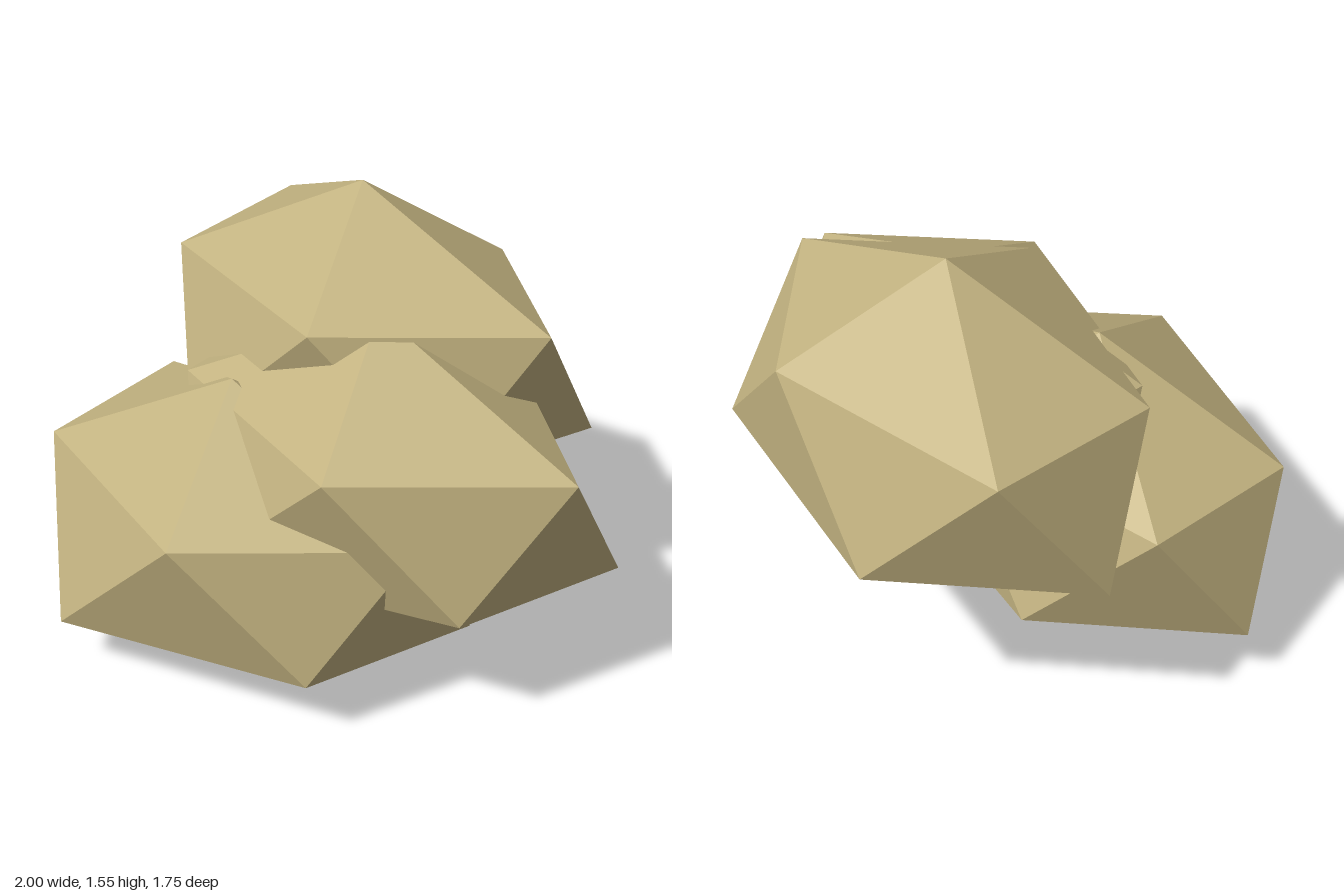
import * as THREE from 'three';

// One faceted boulder: top point, two rings of five corners, bottom point
function boulderGeometry() {
  const top = [0, 1.03, 0];
  const bottom = [0, 0, 0];
  // both rings run back-left, right, front; each lower corner sits between two upper ones
  const upper = [[-0.68, 0.72, -0.33], [0.24, 0.69, -0.48], [0.83, 0.72, 0], [0.28, 0.735, 0.56], [-0.62, 0.7, 0.29]];
  const lower = [[-0.27, 0.228, -0.54], [0.76, 0.205, -0.37], [0.63, 0.247, 0.3], [-0.28, 0.2, 0.58], [-0.8, 0.24, 0]];

  const positions = [];
  const face = (a, b, c) => positions.push(...a, ...b, ...c);
  for (let i = 0; i < 5; i++) {
    const j = (i + 1) % 5;
    face(top, upper[j], upper[i]);
    face(upper[i], upper[j], lower[i]);
    face(upper[j], lower[j], lower[i]);
    face(lower[i], lower[j], bottom);
  }
  const geometry = new THREE.BufferGeometry();
  geometry.setAttribute('position', new THREE.Float32BufferAttribute(positions, 3));
  geometry.computeVertexNormals();
  return geometry;
}

export function createModel() {
  const group = new THREE.Group();
  group.name = 'boulderPile';

  const sandstone = new THREE.MeshStandardMaterial({ color: 0xc2b280, flatShading: true });
  sandstone.name = 'sandstone';
  const geometry = boulderGeometry();

  // Three equal boulders stacked up and towards the back
  const places = [
    ['lowerBoulder', -0.2, 0, 0.293],
    ['middleBoulder', 0.17, 0.26, -0.022],
    ['upperBoulder', -0.2, 0.52, -0.34],
  ];
  for (const [name, x, y, z] of places) {
    const boulder = new THREE.Mesh(geometry, sandstone);
    boulder.name = name;
    boulder.position.set(x, y, z);
    group.add(boulder);
  }
  return group;
}
